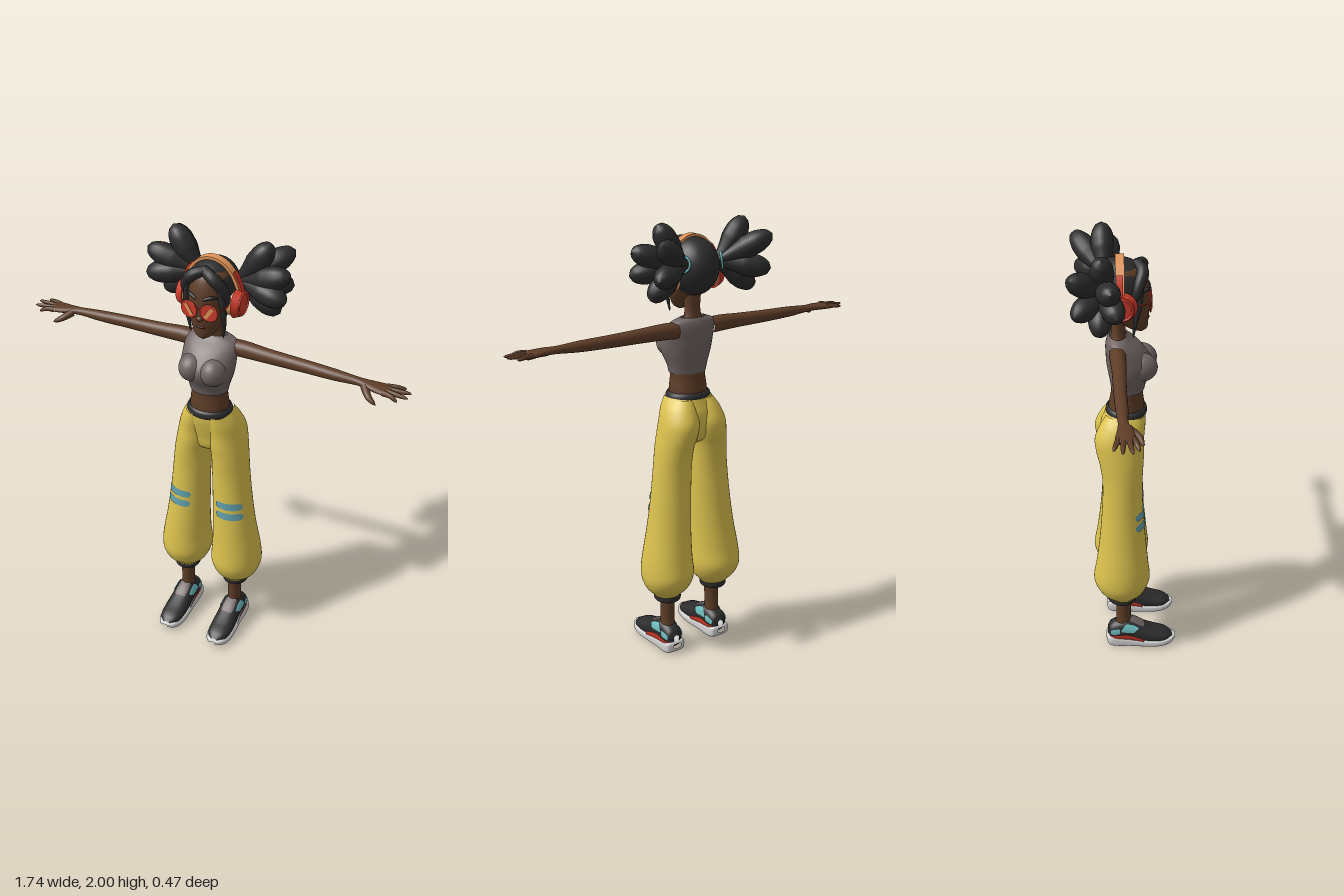
import * as THREE from 'three';
import { toCreasedNormals } from 'three/addons/utils/BufferGeometryUtils.js';

const paint = (name, color, side = THREE.FrontSide) => {
  const m = new THREE.MeshStandardMaterial({ color, side });
  m.name = name;
  return m;
};

// Grid of points fn(u, v); v wraps round when closed
function surface(fn, nu, nv, closed = true) {
  const pos = [], idx = [], cols = closed ? nv : nv + 1;
  for (let i = 0; i <= nu; i++)
    for (let j = 0; j < cols; j++) pos.push(...fn(i / nu, j / nv));
  for (let i = 0; i < nu; i++)
    for (let j = 0; j < nv; j++) {
      const k = (j + 1) % cols, a = i * cols + j, b = a + cols, c = i * cols + k, d = c + cols;
      idx.push(a, b, c, b, d, c);
    }
  const g = new THREE.BufferGeometry();
  g.setAttribute('position', new THREE.Float32BufferAttribute(pos, 3));
  g.setIndex(idx);
  g.computeVertexNormals();
  return g;
}

// Smooth interpolation of rows [h, centreP, radiusP, centreQ, radiusQ] at h
function section(rows, h) {
  let i = 0;
  while (i < rows.length - 2 && h > rows[i + 1][0]) i++;
  const slope = (n, c) => {
    const a = rows[Math.max(n - 1, 0)], b = rows[Math.min(n + 1, rows.length - 1)];
    return (b[c] - a[c]) / (b[0] - a[0]);
  };
  const A = rows[i], B = rows[i + 1], w = B[0] - A[0], s = (h - A[0]) / w;
  return [1, 2, 3, 4].map(c =>
    A[c] * (1 + 2 * s) * (1 - s) ** 2 + B[c] * s * s * (3 - 2 * s) +
    w * (slope(i, c) * s * (1 - s) ** 2 + slope(i + 1, c) * s * s * (s - 1)));
}

// Body along an axis: (h, angle, offset) -> point; power below 1 makes it boxier
function body(rows, axis = 'y', power = 1) {
  const bend = c => Math.sign(c) * Math.abs(c) ** power;
  return (h, a, off = 0) => {
    const [cp, rp, cq, rq] = section(rows, h);
    const p = cp + (Math.max(rp, 0) + off) * bend(Math.cos(a));
    const q = cq + (Math.max(rq, 0) + off) * bend(Math.sin(a));
    return axis === 'y' ? [p, h, q] : axis === 'x' ? [h, q, p] : [q, p, h];
  };
}
function loft(rows, axis, power, nv = 32) {
  const f = body(rows, axis, power), n = rows.length - 1;
  return surface((u, v) => {
    const t = Math.min(u * n, n - 1e-6), i = Math.floor(t);
    return f(rows[i][0] + (rows[i + 1][0] - rows[i][0]) * (t - i), v * Math.PI * 2);
  }, n * 4, nv);
}
// Thin rounded patch lying on a body
const patch = (f, h0, h1, a0, a1, off = 0.004, slant = 0) => surface((u, v) => {
  const half = (h1 - h0) / 2 * Math.sqrt(1 - 0.97 * Math.abs(2 * v - 1) ** 8);
  return f((h0 + h1) / 2 + (2 * u - 1) * half + slant * (v - 0.5), a0 + (a1 - a0) * v, off);
}, 6, 18, false);

// Round-ended tapering strand along a curve
function strand(points, radii, nv = 14, nu = 18) {
  const curve = new THREE.CatmullRomCurve3(points.map(p => new THREE.Vector3(...p)));
  const fr = curve.computeFrenetFrames(nu), n = radii.length - 1;
  return surface((u, v) => {
    const k = Math.round(u * nu), p = curve.getPointAt(u), a = v * Math.PI * 2;
    const i = Math.min(Math.floor(u * n), n - 1);
    const r = THREE.MathUtils.lerp(radii[i], radii[i + 1], u * n - i) * Math.sqrt(1 - u ** 6);
    return p.addScaledVector(fr.normals[k], r * Math.cos(a))
      .addScaledVector(fr.binormals[k], -r * Math.sin(a)).toArray();
  }, nu, nv);
}
const ball = (x, y, z, rx, ry, rz) => new THREE.SphereGeometry(1, 24, 16).scale(rx, ry, rz).translate(x, y, z);

function mirrored(geo) {
  const g = geo.clone();
  if (!g.index) g.setIndex([...Array(g.attributes.position.count).keys()]);
  g.scale(-1, 1, 1);
  const ix = g.index.array;
  for (let i = 0; i < ix.length; i += 3) [ix[i], ix[i + 1]] = [ix[i + 1], ix[i]];
  return g;
}

export function createModel() {
  const group = new THREE.Group();
  const skin = paint('skin', 0x5e3d27), lip = paint('lip', 0x3d2217);
  const black = paint('black', 0x2c2c2d, THREE.DoubleSide), yellow = paint('yellow', 0xdcc24e);
  const grey = paint('grey', 0x6f6463, THREE.DoubleSide), red = paint('red', 0xcc3a2a);
  const orange = paint('orange', 0xe2965a), teal = paint('teal', 0x6cbcbe, THREE.DoubleSide);
  const blue = paint('blue', 0x62a2ae, THREE.DoubleSide), white = paint('white', 0xd2d2d2);
  const add = (name, geo, mat) => {
    const m = new THREE.Mesh(geo, mat);
    m.name = name;
    group.add(m);
  };
  const pair = (name, geo, mat) => {
    add(name + 'Left', geo, mat);
    add(name + 'Right', mirrored(geo), mat);
  };

  // Head and neck
  add('head', loft([[1.603, 0, 0.008, 0.062, 0.01], [1.62, 0, 0.036, 0.05, 0.04], [1.66, 0, 0.064, 0.028, 0.066],
    [1.7, 0, 0.079, 0.012, 0.086], [1.75, 0, 0.089, -0.01, 0.108], [1.8, 0, 0.095, -0.02, 0.118],
    [1.85, 0, 0.092, -0.025, 0.112], [1.89, 0, 0.074, -0.025, 0.088], [1.918, 0, 0.02, -0.025, 0.03]]), skin);
  add('neck', loft([[1.55, 0, 0.055, -0.035, 0.036], [1.59, 0, 0.04, -0.033, 0.03], [1.63, 0, 0.036, -0.03, 0.03],
    [1.7, 0, 0.04, -0.03, 0.036]]), skin);
  add('nose', ball(0, 1.708, 0.098, 0.014, 0.012, 0.013), skin);
  add('mouth', ball(0, 1.668, 0.092, 0.022, 0.006, 0.006), lip);
  pair('eyebrow', strand([[0.016, 1.797, 0.099], [0.045, 1.806, 0.087], [0.072, 1.798, 0.06]], [0.006, 0.008, 0.004]), black);

  // Hair cap with an open face, swept fringe and loose strands
  add('hairCap', surface((u, v) => {
    const a = v * Math.PI * 2, c = Math.cos(a);
    const p = Math.max(u, 1e-3) * (c > 0 ? 1.95 + 0.42 * c : 1.95 + 0.6 * c);
    const s = Math.sin(p);
    return [0.108 * s * Math.sin(a), 1.8 + 0.125 * s * c, -0.03 - 0.13 * Math.cos(p)];
  }, 20, 40), black);
  pair('fringe', strand([[-0.005, 1.9, 0.045], [0.045, 1.883, 0.068], [0.084, 1.83, 0.05], [0.094, 1.74, 0.025]],
    [0.022, 0.026, 0.022, 0.01]), black);
  pair('looseStrand', strand([[0.074, 1.84, 0.06], [0.084, 1.74, 0.052], [0.081, 1.66, 0.036], [0.074, 1.6, 0.03]],
    [0.013, 0.013, 0.01, 0.006]), black);

  // Bunches of rounded locks with a tie at the root
  const root = [0.085, 1.82, -0.09];
  [[0.22, 1.998, -0.1], [0.275, 1.935, -0.222], [0.322, 1.895, -0.06], [0.285, 1.785, -0.205],
    [0.265, 1.695, -0.11], [0.318, 1.79, -0.035]].forEach((tip, i) => {
    const mid = tip.map((c, k) => root[k] + (c - root[k]) * 0.5 + (k === 0 ? 0.008 : 0));
    pair('hairLock' + i, strand([root, mid, tip], [0.02, 0.032, 0.049, 0.052, 0.046]), black);
  });
  pair('hairTie', new THREE.TorusGeometry(0.034, 0.005, 8, 24).lookAt(new THREE.Vector3(0.8, 0.15, -0.5))
    .translate(0.1, 1.825, -0.1), teal);

  // Headphones
  const arc = (rx, ry, t, a0, a1, depth, z) => {
    const s = new THREE.Shape();
    s.absellipse(0, 0, rx, ry, a0, a1, false);
    s.absellipse(0, 0, rx - t, ry - t, a1, a0, true);
    return toCreasedNormals(new THREE.ExtrudeGeometry(s, { depth, bevelEnabled: false, curveSegments: 32 })
      .translate(0, 1.755, z), 0.6);
  };
  add('headband', arc(0.132, 0.18, 0.013, 0, Math.PI, 0.036, -0.043), orange);
  pair('headbandArm', arc(0.142, 0.184, 0.012, 0, 0.8, 0.026, -0.038), red);
  const disc = (r0, r1, len, x) => toCreasedNormals(new THREE.CylinderGeometry(r0, r1, len, 32)
    .rotateZ(-Math.PI / 2).translate(x, 1.755, -0.018), 0.6);
  pair('earPad', disc(0.056, 0.056, 0.024, 0.1), orange);
  pair('earCup', disc(0.052, 0.065, 0.03, 0.126), red);
  pair('earCupRim', new THREE.TorusGeometry(0.045, 0.005, 8, 28).rotateY(Math.PI / 2).translate(0.141, 1.755, -0.018), red);

  // Round glasses
  const lens = g => g.rotateY(0.12).translate(0.045, 1.746, 0.102);
  pair('lens', lens(new THREE.CylinderGeometry(0.036, 0.036, 0.006, 32).rotateX(Math.PI / 2)), red);
  pair('lensRim', lens(new THREE.TorusGeometry(0.036, 0.003, 8, 32)), red);
  pair('lensGleam', lens(new THREE.BoxGeometry(0.016, 0.056, 0.002).rotateZ(-0.6).translate(0, 0, 0.004)), orange);
  add('glassesBridge', new THREE.BoxGeometry(0.022, 0.005, 0.005).translate(0, 1.755, 0.105), red);
  pair('glassesTemple', strand([[0.079, 1.755, 0.1], [0.093, 1.758, 0.06], [0.1, 1.758, 0]], [0.003, 0.003], 8), red);

  // Cropped top and waist
  add('croppedTop', loft([[1.335, 0, 0.086, 0.008, 0.072], [1.37, 0, 0.094, 0.01, 0.079], [1.42, 0, 0.112, 0.018, 0.096],
    [1.46, 0, 0.12, 0.018, 0.102], [1.5, 0, 0.121, 0.004, 0.09], [1.54, 0, 0.119, -0.015, 0.072],
    [1.568, 0, 0.105, -0.03, 0.05], [1.585, 0, 0.062, -0.034, 0.036]]), grey);
  pair('bust', ball(0.05, 1.455, 0.067, 0.058, 0.062, 0.068), grey);
  add('waist', loft([[1.2, 0, 0.09, 0, 0.08], [1.26, 0, 0.087, 0.003, 0.077], [1.32, 0, 0.081, 0.005, 0.069],
    [1.4, 0, 0.084, 0.01, 0.07]]), skin);
  add('waistband', loft([[1.215, 0, 0.1, 0.002, 0.087], [1.225, 0, 0.104, 0.002, 0.091], [1.243, 0, 0.098, 0.002, 0.088],
    [1.25, 0, 0.089, 0.002, 0.079]]), black);

  // Arms and hands
  pair('arm', loft([[0.09, -0.036, 0.036, 1.533, 0.035], [0.15, -0.034, 0.034, 1.535, 0.035], [0.25, -0.03, 0.03, 1.533, 0.031],
    [0.4, -0.028, 0.027, 1.531, 0.027], [0.55, -0.022, 0.025, 1.53, 0.023], [0.65, -0.018, 0.02, 1.53, 0.016],
    [0.7, -0.012, 0.029, 1.53, 0.015], [0.75, -0.01, 0.038, 1.528, 0.014], [0.785, -0.01, 0.036, 1.527, 0.011],
    [0.798, -0.01, 0.012, 1.527, 0.004]], 'x', 0.95, 24), skin);
  [[-0.036, 0.842, -0.056, 1.524], [-0.018, 0.872, -0.022, 1.53], [0.002, 0.868, 0.016, 1.528], [0.02, 0.832, 0.04, 1.516]]
    .forEach(([z, x, tz, ty], i) => pair('finger' + i,
      strand([[0.765, 1.528, z], [(0.77 + x) / 2, 1.529, (z + tz) / 2], [x, ty, tz]], [0.012, 0.01, 0.008], 10, 12), skin));
  pair('thumb', strand([[0.685, 1.525, 0.0], [0.715, 1.507, 0.04], [0.752, 1.488, 0.056]], [0.018, 0.014, 0.009], 10, 12), skin);

  // Baggy trousers with knee stripes
  const leg = [[0.285, 0.13, 0.058, -0.015, 0.06], [0.3, 0.132, 0.07, -0.017, 0.07], [0.33, 0.132, 0.097, -0.018, 0.1],
    [0.37, 0.132, 0.114, -0.02, 0.122], [0.41, 0.131, 0.119, -0.02, 0.13], [0.48, 0.13, 0.113, -0.018, 0.121],
    [0.6, 0.12, 0.101, -0.016, 0.107], [0.75, 0.108, 0.092, -0.016, 0.094], [0.9, 0.098, 0.086, -0.016, 0.089],
    [1.0, 0.09, 0.083, -0.02, 0.097], [1.06, 0.079, 0.084, -0.026, 0.106], [1.12, 0.07, 0.082, -0.029, 0.108],
    [1.18, 0.06, 0.071, -0.014, 0.098], [1.225, 0.05, 0.052, 0, 0.084]];
  pair('trouserLeg', loft(leg, 'y', 1, 40), yellow);
  add('trouserSeat', loft([[1.01, 0, 0.01, -0.02, 0.03], [1.04, 0, 0.09, -0.02, 0.075], [1.1, 0, 0.142, -0.022, 0.09],
    [1.16, 0, 0.138, -0.015, 0.096], [1.2, 0, 0.121, -0.005, 0.092], [1.238, 0, 0.097, 0.002, 0.086]], 'y', 1, 40), yellow);
  for (const y of [0.69, 0.743]) pair('kneeStripe', patch(body(leg), y, y + 0.036, 0.62, 2.04), blue);

  // Ankles and cuffs
  pair('ankle', loft([[0.08, 0.128, 0.034, -0.015, 0.04], [0.17, 0.127, 0.031, -0.012, 0.034], [0.3, 0.126, 0.036, -0.012, 0.037]]), skin);
  pair('cuff', loft([[0.258, 0.13, 0.035, -0.017, 0.037], [0.263, 0.13, 0.056, -0.017, 0.06], [0.28, 0.13, 0.061, -0.017, 0.065],
    [0.302, 0.13, 0.058, -0.017, 0.062]]), black);

  // Trainers
  const upper = [[-0.088, 0.075, 0.02, 0.128, 0.015], [-0.075, 0.075, 0.042, 0.128, 0.038], [-0.04, 0.08, 0.055, 0.128, 0.045],
    [0.0, 0.085, 0.062, 0.128, 0.048], [0.04, 0.078, 0.056, 0.128, 0.05], [0.085, 0.063, 0.046, 0.129, 0.053],
    [0.14, 0.052, 0.034, 0.13, 0.054], [0.19, 0.046, 0.024, 0.13, 0.046], [0.222, 0.042, 0.008, 0.13, 0.018]];
  const side = body(upper, 'z', 0.85);
  pair('shoeUpper', loft(upper, 'z', 0.85), black);
  pair('shoeSole', loft([[-0.095, 0.042, 0.012, 0.128, 0.02], [-0.085, 0.037, 0.027, 0.128, 0.046], [-0.05, 0.03, 0.03, 0.128, 0.053],
    [0.02, 0.026, 0.026, 0.128, 0.054], [0.1, 0.022, 0.021, 0.129, 0.059], [0.17, 0.024, 0.02, 0.13, 0.058],
    [0.215, 0.031, 0.016, 0.13, 0.042], [0.237, 0.037, 0.006, 0.13, 0.014]], 'z', 0.5), white);
  pair('shoeTongue', patch(side, 0.015, 0.085, -0.5, 0.5), grey);
  for (const [n, s] of [['Outer', 1], ['Inner', -1]]) {
    const [lo, hi] = s > 0 ? [0.75, 1.5] : [-1.5, -0.75];
    pair('shoePanel' + n, patch(side, -0.015, 0.05, lo, hi, 0.004, 0.03 * -s), teal);
    pair('shoeHeelPanel' + n, patch(side, -0.074, -0.03, s > 0 ? 1.15 : -1.6, s > 0 ? 1.6 : -1.15), teal);
    pair('shoeStripe' + n, patch(side, -0.08, 0.085, s > 0 ? 1.62 : -2.1, s > 0 ? 2.1 : -1.62, 0.007), red);
  }
  return group;
}
